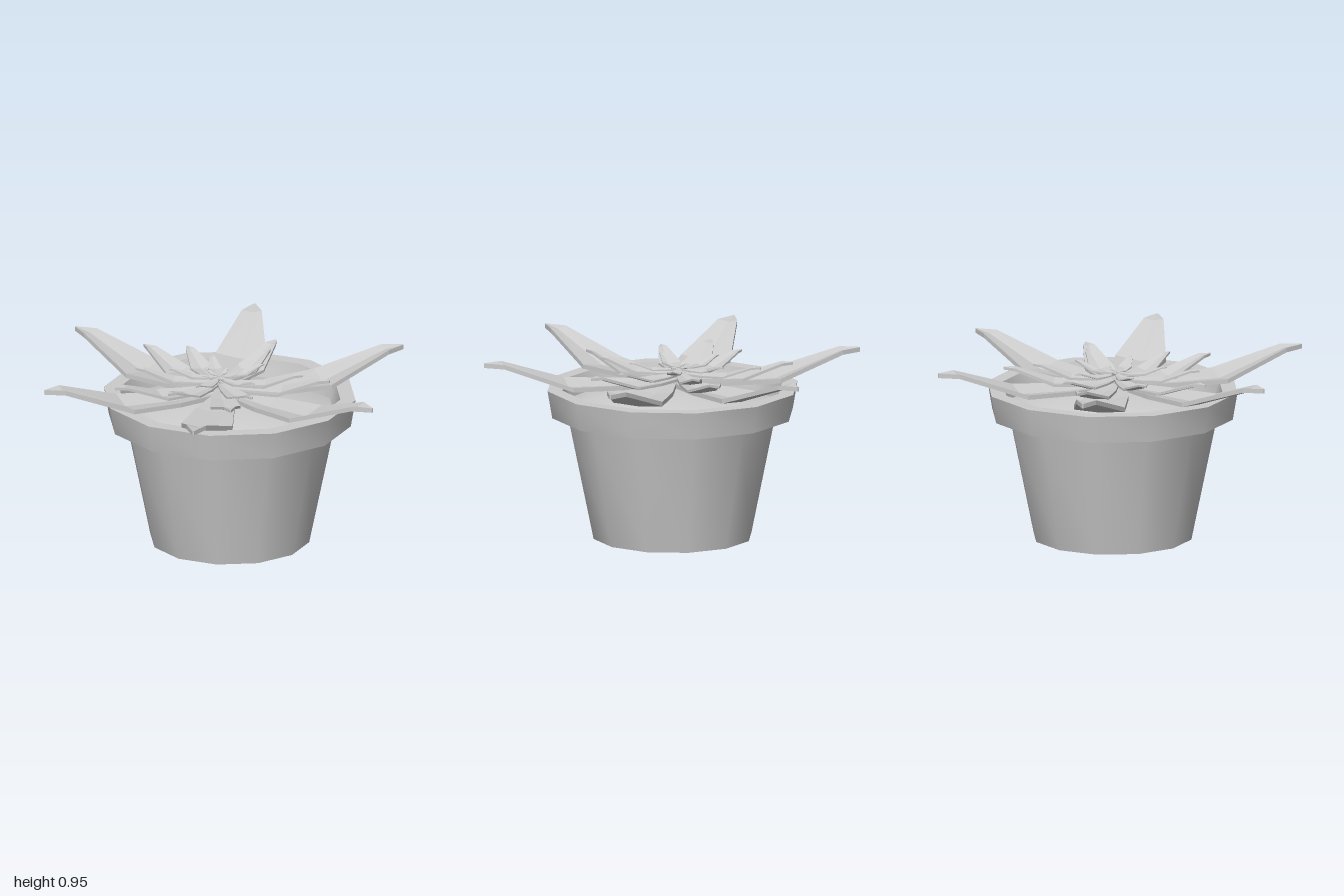
import * as THREE from 'three';
import { toCreasedNormals } from 'three/addons/utils/BufferGeometryUtils.js';

const material = new THREE.MeshStandardMaterial({ color: 0xcccccc });
const leafMaterial = new THREE.MeshStandardMaterial({ color: 0xcccccc, flatShading: true });

// Twelve-sided turned solid, smooth around and sharp at the rim edges
function turned(name, profile) {
  const points = profile.map(([r, y]) => new THREE.Vector2(r, y));
  const mesh = new THREE.Mesh(toCreasedNormals(new THREE.LatheGeometry(points, 12), 0.6), material);
  mesh.name = name;
  mesh.position.set(0.025, 0, -0.033);
  return mesh;
}

// Unit-length leaf along +x: [distance, half width, height, groove depth]
function leafGeometry() {
  const sections = [
    [0, 0.03, 0, 0.005],
    [0.28, 0.1, 0, 0.02],
    [0.55, 0.135, 0.008, 0.025],
    [0.9, 0.052, 0.128, 0.012],
    [1, 0.004, 0.13, 0],
  ];
  const t = 0.024;
  const positions = [];
  const index = [];
  for (const [x, w, y, g] of sections) {
    positions.push(
      x, y, w, x, y - t, w, x, y - t - g * 0.4, 0,
      x, y - t, -w, x, y, -w, x, y - g, 0
    );
  }
  const last = sections.length - 1;
  for (let i = 0; i < last; i++) {
    for (let k = 0; k < 6; k++) {
      const n = (k + 1) % 6;
      const a = i * 6 + k, b = i * 6 + n, c = b + 6, d = a + 6;
      index.push(a, b, c, a, c, d);
    }
  }
  // End caps
  for (let k = 1; k < 5; k++) {
    index.push(0, k + 1, k, last * 6, last * 6 + k, last * 6 + k + 1);
  }
  const geometry = new THREE.BufferGeometry();
  geometry.setAttribute('position', new THREE.Float32BufferAttribute(positions, 3));
  geometry.setIndex(index);
  geometry.computeVertexNormals();
  return geometry;
}

export function createModel() {
  const model = new THREE.Group();
  model.name = 'pottedSucculent';

  // Tapered pot with an overhanging rim
  model.add(turned('pot', [
    [0, 0], [0.42, 0], [0.555, 0.655], [0.64, 0.655],
    [0.665, 0.8], [0.585, 0.8], [0.555, 0.69],
  ]));

  // Domed soil
  model.add(turned('soil', [[0.56, 0.7], [0.45, 0.745], [0.25, 0.785], [0, 0.8]]));

  // Rosette tiers, from the outer leaves to the heart
  const tiers = [
    { name: 'outerLeaves', count: 6, length: 1, start: 30, y: 0.825, offset: 0 },
    { name: 'secondLeaves', count: 5, length: 0.59, start: 3, y: 0.838, offset: -0.03 },
    { name: 'thirdLeaves', count: 6, length: 0.44, start: -2, y: 0.862, offset: -0.03 },
    { name: 'innerLeaves', count: 5, length: 0.265, start: 36, y: 0.885, offset: -0.03 },
    { name: 'heartLeaves', count: 5, length: 0.1, start: 0, y: 0.895, offset: -0.03 },
  ];
  const geometry = leafGeometry();
  for (const tier of tiers) {
    const group = new THREE.Group();
    group.name = tier.name;
    group.position.set(tier.offset, tier.y, tier.offset);
    for (let i = 0; i < tier.count; i++) {
      const leaf = new THREE.Mesh(geometry, leafMaterial);
      leaf.name = 'leaf';
      leaf.scale.setScalar(tier.length);
      leaf.rotation.y = -THREE.MathUtils.degToRad(tier.start + (360 / tier.count) * i);
      group.add(leaf);
    }
    model.add(group);
  }
  return model;
}
